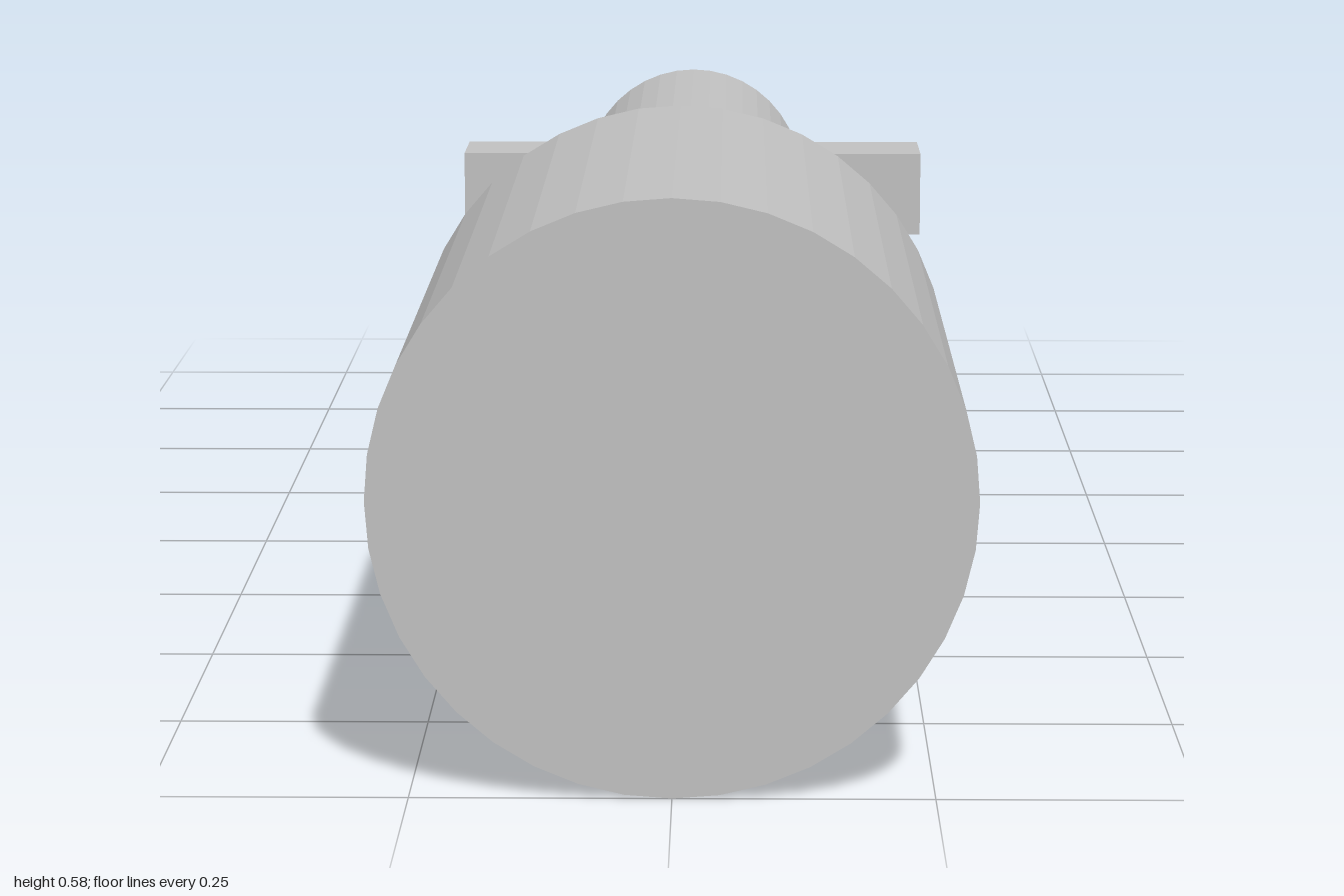
import * as THREE from 'three';

export function createModel() {
  const model = new THREE.Group();
  model.name = 'lockingPin';
  const grey = new THREE.MeshStandardMaterial({ color: 0xc0c0c0, flatShading: true });
  grey.name = 'plain grey';

  const axisY = 0.288;
  const add = (name, geometry, x, z) => {
    const mesh = new THREE.Mesh(geometry, grey);
    mesh.name = name;
    mesh.position.set(x, axisY, z);
    model.add(mesh);
  };

  // Faceted cylinder lying along z
  const rod = (name, radius, back, front) => add(
    name,
    new THREE.CylinderGeometry(radius, radius, front - back, 40).rotateX(Math.PI / 2),
    0, (back + front) / 2
  );

  rod('head', 0.288, 0.37, 1);
  rod('shaft', 0.152, -1, 0.37);

  // Square lugs on both sides, sunk slightly into the shaft
  const inner = 0.135, outer = 0.315;
  for (const [name, side] of [['leftLug', 1], ['rightLug', -1]]) {
    add(name, new THREE.BoxGeometry(outer - inner, 0.113, 0.113), side * (inner + outer) / 2, -0.889);
  }

  return model;
}
